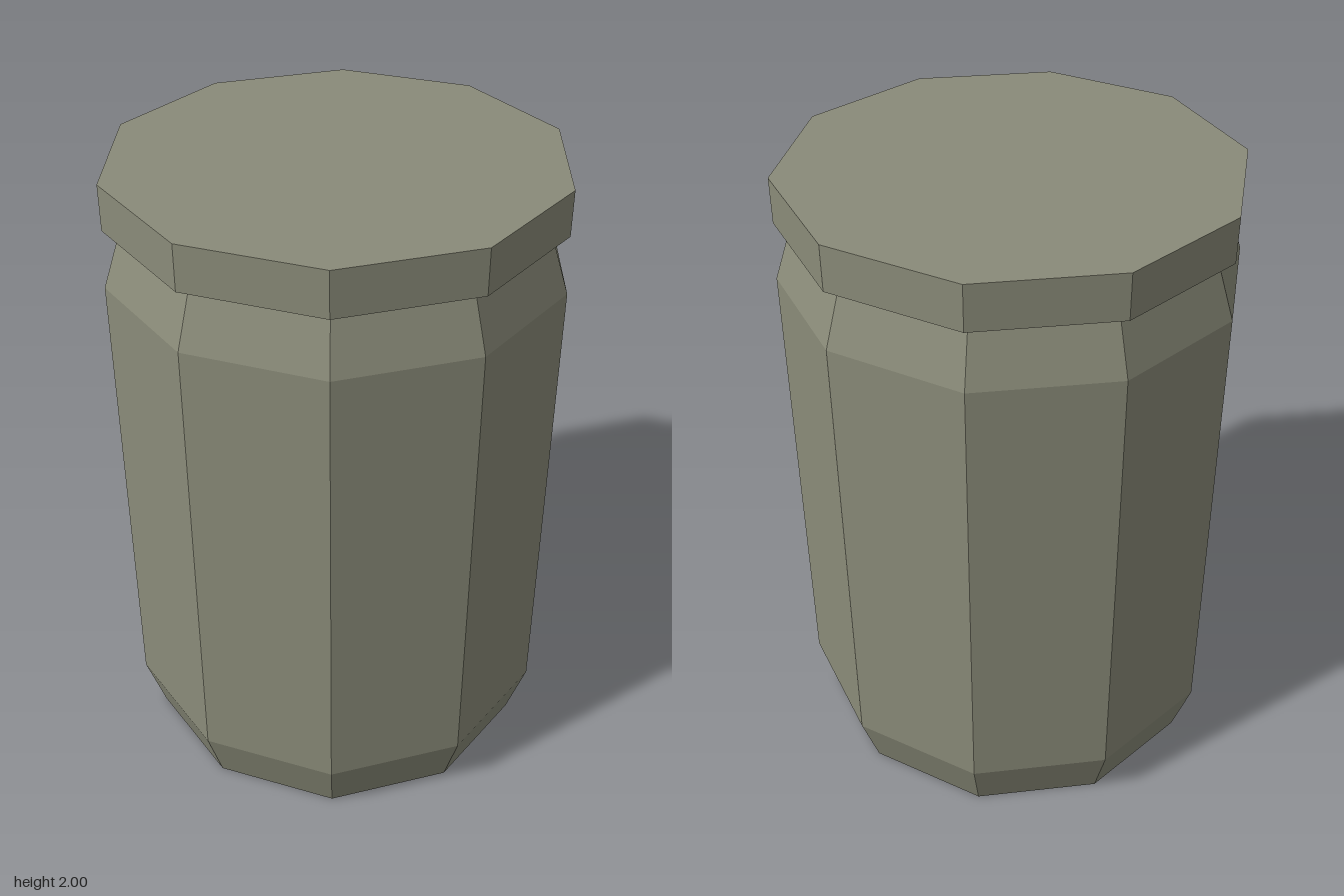
import * as THREE from 'three';

const SIDES = 10;

export function createModel() {
  const group = new THREE.Group();
  group.name = 'jar';
  const olive = new THREE.MeshStandardMaterial({ color: 0x8a8b79, flatShading: true });
  olive.name = 'olive grey';

  // Turns a [radius, height] profile, listed bottom to top, into a ten-sided solid
  const turned = (name, profile) => {
    const points = profile.map(([r, y]) => new THREE.Vector2(r, y));
    const geometry = new THREE.LatheGeometry(points, SIDES).toNonIndexed();
    geometry.computeVertexNormals();
    const mesh = new THREE.Mesh(geometry, olive);
    mesh.name = name;
    group.add(mesh);
  };

  // Body with bevelled foot and shoulder
  turned('body', [[0, 0], [0.637, 0], [0.697, 0.185], [0.697, 1.68], [0.637, 1.86], [0, 1.86]]);

  // Flat lid overhanging the neck
  turned('lid', [[0, 1.86], [0.689, 1.86], [0.689, 2], [0, 2]]);

  return group;
}
